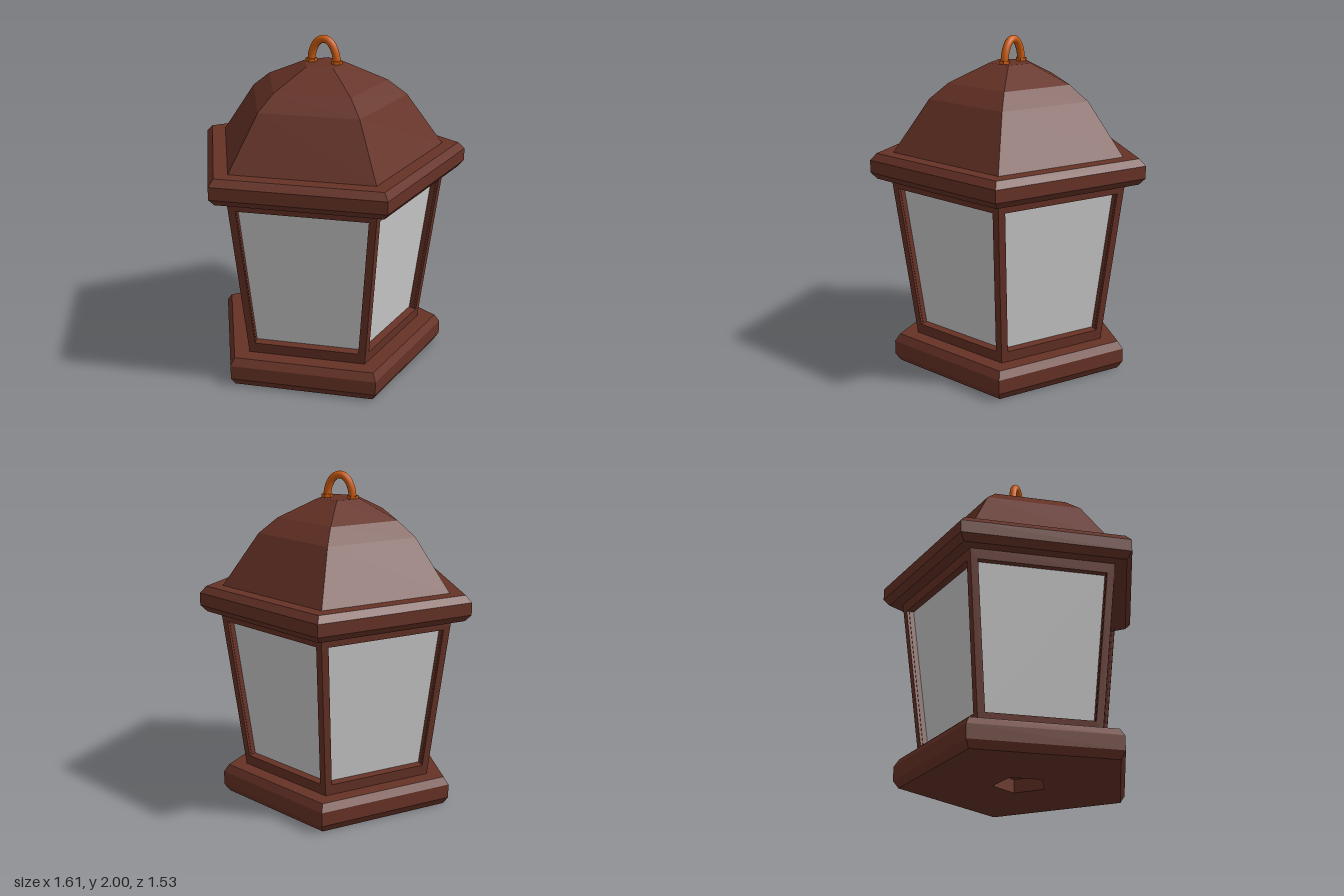
import * as THREE from 'three';

export function createModel() {
  const model = new THREE.Group();
  const lantern = new THREE.Group();
  lantern.name = 'lantern';
  lantern.position.z = 0.081; // the pentagon's centre sits ahead of its mid-depth
  model.add(lantern);

  const brown = new THREE.MeshStandardMaterial({ color: 0x663226, flatShading: true });
  const orange = new THREE.MeshStandardMaterial({ color: 0xcc5c10 });
  const glass = new THREE.MeshStandardMaterial({ color: 0xcccccc, flatShading: true });

  const add = (name, geometry, material, parent = lantern) => {
    const mesh = new THREE.Mesh(geometry, material);
    mesh.name = name;
    parent.add(mesh);
    return mesh;
  };

  // Five-sided solid from a [corner radius, height] profile, flat side to the front
  const pentagon = (name, profile) => add(name, new THREE.LatheGeometry(
    profile.map(([r, y]) => new THREE.Vector2(r, y)), 5, Math.PI / 5), brown);

  // Base with a small pocket underneath
  pentagon('base', [[0, 0.08], [0.16, 0.08], [0.16, 0], [0.705, 0], [0.738, 0.045],
    [0.738, 0.13], [0.705, 0.175], [0, 0.175]]);
  // Roof brim and faceted dome
  pentagon('roofBrim', [[0, 1.175], [0.808, 1.175], [0.848, 1.215], [0.848, 1.29],
    [0.808, 1.33], [0, 1.33]]);
  pentagon('roofDome', [[0.71, 1.33], [0.49, 1.64], [0.375, 1.73], [0.13, 1.84], [0, 1.84]]);

  // Five tilted window frames with recessed panes
  const y0 = 0.175, y1 = 1.175, r0 = 0.594, r1 = 0.725, depth = 0.047;
  const apothem = Math.cos(Math.PI / 5), half = Math.sin(Math.PI / 5);
  const rise = y1 - y0, lean = (r1 - r0) * apothem;
  const tilt = Math.atan2(lean, rise), stretch = Math.hypot(rise, lean) / rise;

  // Trapezoid between two heights, narrowed at the sides by a margin
  const trapezoid = (bottom, top, margin) => {
    const width = y => (r0 + (r1 - r0) * (y - y0) / rise) * half - margin;
    const b = (bottom - y0) * stretch, t = (top - y0) * stretch;
    return [[-width(bottom), b], [width(bottom), b], [width(top), t], [-width(top), t]]
      .map(([x, y]) => new THREE.Vector2(x, y));
  };
  const panel = (shape, thickness, back) =>
    new THREE.ExtrudeGeometry(shape, { depth: thickness, bevelEnabled: false })
      .translate(0, 0, back).rotateX(tilt).translate(0, y0, r0 * apothem);

  const opening = trapezoid(0.24, 1.115, 0.043);
  const frameShape = new THREE.Shape(trapezoid(y0, y1, 0));
  frameShape.holes.push(new THREE.Path(opening.slice().reverse()));
  const frameGeometry = panel(frameShape, depth, -depth);
  const paneGeometry = panel(new THREE.Shape(opening), 0.01, -depth - 0.01);

  for (let i = 0; i < 5; i++) {
    const side = new THREE.Group();
    side.name = 'windowSide' + (i + 1);
    side.rotation.y = i * Math.PI * 2 / 5;
    add('windowFrame', frameGeometry, brown, side);
    add('windowPane', paneGeometry, glass, side);
    lantern.add(side);
  }

  // Hanging loop with two hexagonal feet, turned slightly
  const handle = new THREE.Group();
  handle.name = 'hangingLoop';
  handle.position.set(-0.001, 1.84, -0.014);
  handle.rotation.y = -0.24;
  lantern.add(handle);
  const arch = [];
  for (let i = 0; i <= 12; i++) {
    const a = Math.PI * i / 12;
    arch.push(new THREE.Vector3(-0.081 * Math.cos(a), 0.137 * Math.sin(a), 0));
  }
  add('loopArch', new THREE.TubeGeometry(new THREE.CatmullRomCurve3(arch), 24, 0.023, 10),
    orange, handle);
  const footMaterial = orange.clone();
  footMaterial.flatShading = true;
  for (const s of [-1, 1]) {
    add('loopFoot', new THREE.CylinderGeometry(0.034, 0.034, 0.024, 6), footMaterial, handle)
      .position.set(s * 0.081, 0.006, 0);
  }

  return model;
}
